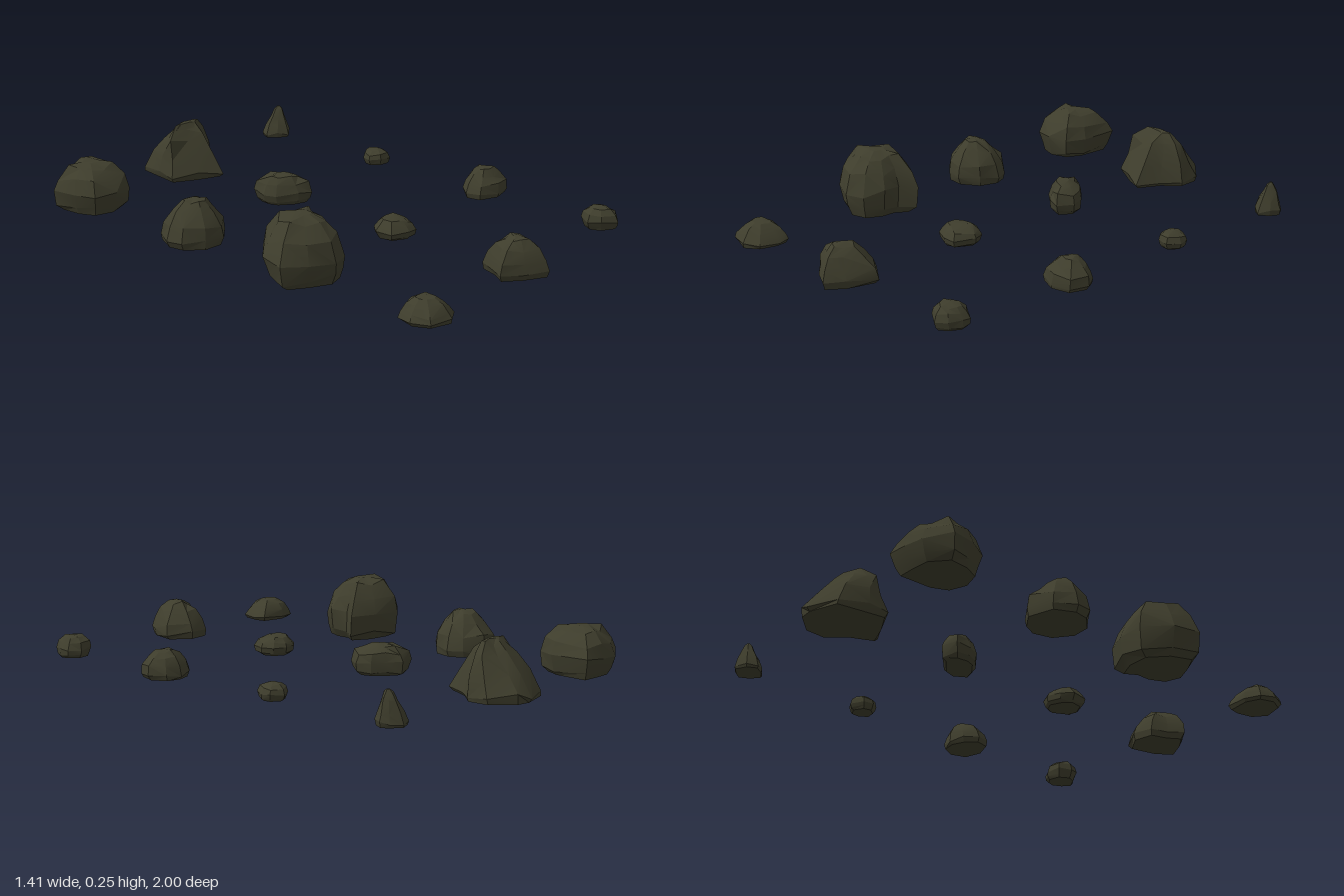
import * as THREE from 'three';
import { toCreasedNormals } from 'three/addons/utils/BufferGeometryUtils.js';

// Profiles: [height fraction, x scale, z scale] of the outline, from the ground up
const DOME = [[0, 0.78, 0.78], [0.13, 0.92, 0.92], [0.42, 1, 1], [0.72, 0.86, 0.86], [0.93, 0.56, 0.56], [1, 0.2, 0.2]];
const MOUND = [[0, 0.92, 0.92], [0.16, 1, 1], [0.46, 0.9, 0.9], [0.76, 0.64, 0.64], [0.95, 0.36, 0.36], [1, 0.12, 0.12]];
const SPIRE = [[0, 0.93, 0.93], [0.12, 1, 1], [0.36, 0.82, 0.82], [0.68, 0.52, 0.52], [0.93, 0.28, 0.28], [1, 0.1, 0.1]];
const RIDGE = [[0, 0.93, 0.95], [0.12, 1, 1], [0.42, 0.88, 0.72], [0.76, 0.74, 0.38], [0.95, 0.45, 0.17], [1, 0.22, 0.07]];

function seeded(seed) {
  let s = seed * 7919 + 17;
  return () => (s = (s * 16807) % 2147483647) / 2147483647;
}

// Lofts a ground outline [x, z, x, z, ...] through a profile towards a peak
function rockGeometry(outline, peak, height, profile, seed) {
  const rnd = seeded(seed);
  for (let i = 0; i < 5; i++) rnd();
  const n = outline.length / 2;
  let cx = 0, cz = 0;
  for (let i = 0; i < n; i++) {
    cx += outline[2 * i] / n;
    cz += outline[2 * i + 1] / n;
  }
  const last = profile.length - 1;
  const rings = profile.map(([t, sx, sz], k) => {
    const mx = cx + (peak[0] - cx) * t, mz = cz + (peak[1] - cz) * t;
    return Array.from({ length: n }, (_, i) => {
      const wide = sx === 1;
      const j = wide ? 1 : 1 + (rnd() - 0.5) * 0.13;
      const dy = k === 0 || k === last ? 0 : (rnd() - 0.5) * 0.13;
      return new THREE.Vector3(
        mx + (outline[2 * i] - cx) * sx * j,
        Math.min(t + dy, 1) * height,
        mz + (outline[2 * i + 1] - cz) * sz * j
      );
    });
  });
  const pos = [];
  const tri = (...pts) => pts.forEach((p) => pos.push(p.x, p.y, p.z));
  for (let k = 0; k < last; k++) {
    for (let i = 0; i < n; i++) {
      const m = (i + 1) % n;
      const a = rings[k][i], b = rings[k][m], c = rings[k + 1][m], d = rings[k + 1][i];
      if (rnd() < 0.5) { tri(a, d, c); tri(a, c, b); }
      else { tri(a, d, b); tri(b, d, c); }
    }
  }
  // Flat underside and cap
  const base = new THREE.Vector3(cx, 0, cz);
  const top = new THREE.Vector3(peak[0], height, peak[1]);
  for (let i = 0; i < n; i++) {
    const m = (i + 1) % n;
    tri(base, rings[0][i], rings[0][m]);
    tri(top, rings[last][m], rings[last][i]);
  }
  const geo = new THREE.BufferGeometry();
  geo.setAttribute('position', new THREE.Float32BufferAttribute(pos, 3));
  return toCreasedNormals(geo, 0.36);
}

export function createModel() {
  const group = new THREE.Group();
  group.name = 'rocks';
  const stone = new THREE.MeshStandardMaterial({ color: 0x3e3d2c });
  stone.name = 'darkStone';

  const addRock = (name, peak, height, profile, outline) => {
    const mesh = new THREE.Mesh(rockGeometry(outline, peak, height, profile, group.children.length + 1), stone);
    mesh.name = name;
    group.add(mesh);
  };

  // Back row
  addRock('blockBoulder', [-0.53, -0.83], 0.19, DOME,
    [-0.4, -0.95, -0.4, -0.78, -0.44, -0.7, -0.53, -0.68, -0.62, -0.71, -0.66, -0.79, -0.675, -0.89, -0.58, -0.955, -0.49, -0.96]);
  addRock('ridgeBoulder', [0.005, -0.81], 0.217, RIDGE,
    [0.15, -0.9, 0.15, -0.81, 0.09, -0.74, 0.045, -0.64, -0.05, -0.69, -0.15, -0.75, -0.14, -0.83, -0.11, -0.95, 0.01, -1, 0.07, -0.98]);
  addRock('spireStone', [0.61, -0.825], 0.13, SPIRE,
    [0.66, -0.83, 0.64, -0.79, 0.6, -0.76, 0.56, -0.79, 0.53, -0.83, 0.55, -0.87, 0.6, -0.89, 0.64, -0.86]);

  // Middle back row
  addRock('roundBoulder', [-0.53, -0.25], 0.175, MOUND,
    [-0.4, -0.27, -0.43, -0.19, -0.5, -0.13, -0.58, -0.15, -0.65, -0.21, -0.66, -0.28, -0.61, -0.36, -0.5, -0.385, -0.43, -0.33]);
  addRock('longStone', [0, -0.27], 0.12, DOME,
    [0.1, -0.22, 0.06, -0.16, 0, -0.18, -0.07, -0.24, -0.09, -0.29, -0.08, -0.35, -0.01, -0.365, 0.04, -0.32, 0.08, -0.28]);
  addRock('pebble', [0.595, -0.26], 0.065, DOME,
    [0.65, -0.25, 0.62, -0.2, 0.57, -0.21, 0.54, -0.25, 0.55, -0.29, 0.6, -0.32, 0.645, -0.29]);

  // Middle front row
  addRock('largeBoulder', [-0.52, 0.29], 0.25, DOME,
    [-0.355, 0.215, -0.4, 0.28, -0.39, 0.36, -0.44, 0.43, -0.52, 0.455, -0.62, 0.41, -0.7, 0.34, -0.67, 0.23, -0.57, 0.145, -0.45, 0.165]);
  addRock('lowStone', [0, 0.3], 0.075, DOME,
    [0.09, 0.3, 0.05, 0.38, 0, 0.385, -0.07, 0.35, -0.08, 0.28, -0.04, 0.24, 0.02, 0.225, 0.07, 0.25]);
  addRock('wideStone', [0.61, 0.3], 0.11, MOUND,
    [0.7, 0.3, 0.67, 0.37, 0.59, 0.385, 0.51, 0.35, 0.495, 0.29, 0.54, 0.24, 0.6, 0.22, 0.66, 0.24]);

  // Front row
  addRock('flatStone', [-0.53, 0.86], 0.085, MOUND,
    [-0.43, 0.85, -0.45, 0.93, -0.51, 0.965, -0.6, 0.94, -0.63, 0.87, -0.61, 0.8, -0.54, 0.78, -0.44, 0.8]);
  addRock('peakedStone', [0, 0.88], 0.147, MOUND,
    [0.13, 0.81, 0.09, 0.93, 0.04, 1, -0.05, 0.95, -0.12, 0.89, -0.08, 0.83, -0.05, 0.76, 0.04, 0.75]);
  addRock('smallStone', [0.59, 0.87], 0.085, DOME,
    [0.66, 0.87, 0.64, 0.92, 0.6, 0.95, 0.54, 0.91, 0.52, 0.86, 0.55, 0.81, 0.61, 0.8, 0.655, 0.83]);

  return group;
}
